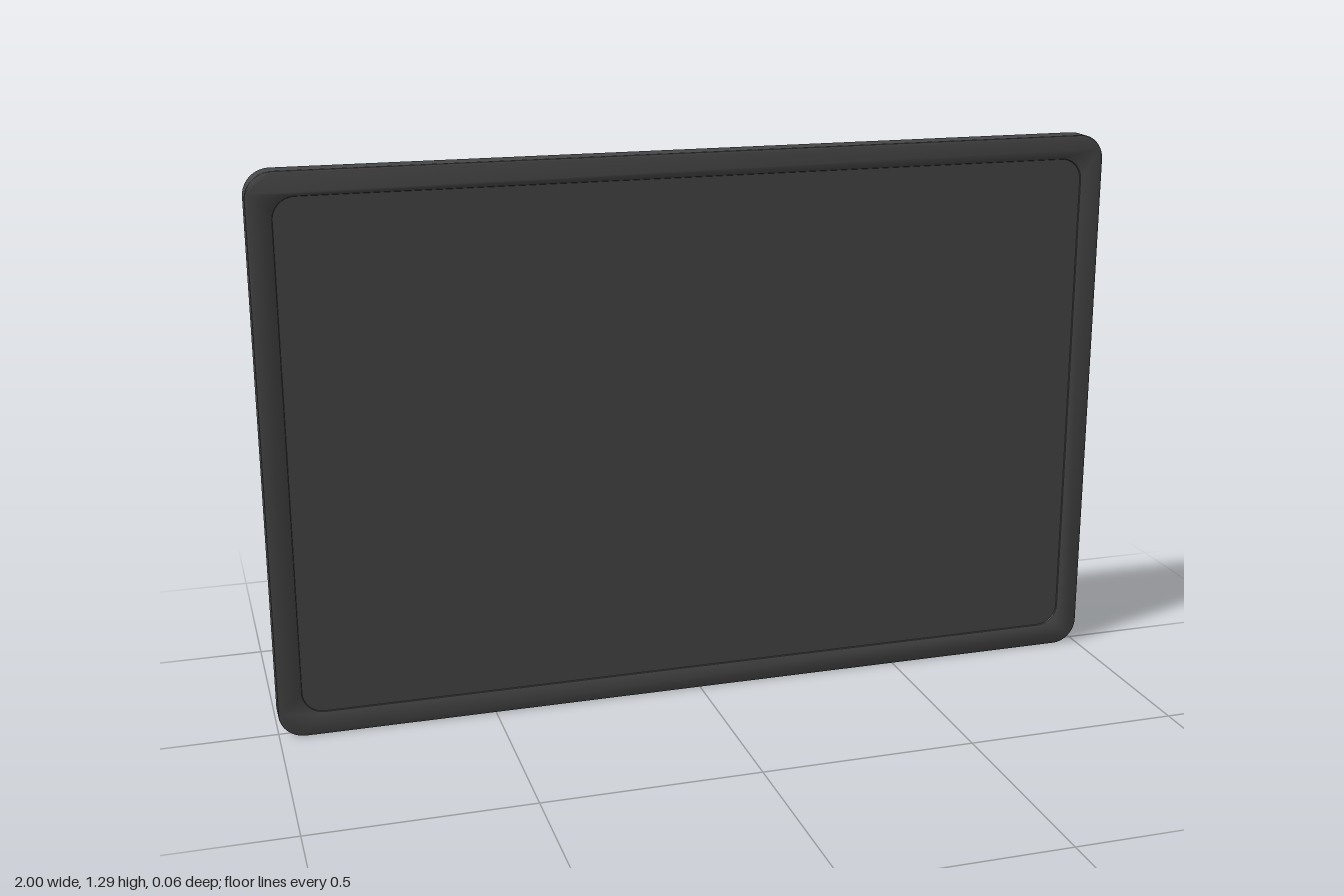
import * as THREE from 'three';
import { toCreasedNormals } from 'three/addons/utils/BufferGeometryUtils.js';

const WIDTH = 2, HEIGHT = 1.295, DEPTH = 0.056, BORDER = 0.056;

// Rounded rectangle centred on the origin
function roundedRect(target, w, h, r) {
  const x = w / 2, y = h / 2;
  target.moveTo(-x + r, -y);
  target.lineTo(x - r, -y);
  target.absarc(x - r, -y + r, r, -Math.PI / 2, 0);
  target.lineTo(x, y - r);
  target.absarc(x - r, y - r, r, 0, Math.PI / 2);
  target.lineTo(-x + r, y);
  target.absarc(-x + r, y - r, r, Math.PI / 2, Math.PI);
  target.lineTo(-x, -y + r);
  target.absarc(-x + r, -y + r, r, Math.PI, Math.PI * 1.5);
  return target;
}

export function createModel() {
  const group = new THREE.Group();
  group.name = 'framedPanel';

  const charcoal = new THREE.MeshStandardMaterial({ color: 0x464646 });
  charcoal.name = 'charcoal';
  const brown = new THREE.MeshStandardMaterial({ color: 0xa07352 });
  brown.name = 'brown';

  const innerW = WIDTH - 2 * BORDER, innerH = HEIGHT - 2 * BORDER;

  function addPart(name, geometry, material, z) {
    const mesh = new THREE.Mesh(toCreasedNormals(geometry, 0.5), material);
    mesh.name = name;
    mesh.position.set(0, HEIGHT / 2, z);
    group.add(mesh);
  }

  // Border frame with softly bevelled edges
  const bevel = 0.004;
  const outline = roundedRect(new THREE.Shape(), WIDTH, HEIGHT, 0.06);
  outline.holes.push(roundedRect(new THREE.Path(), innerW, innerH, 0.05));
  addPart('frame', new THREE.ExtrudeGeometry(outline, {
    depth: DEPTH - 2 * bevel, bevelThickness: bevel, bevelSize: bevel,
    bevelOffset: -bevel, bevelSegments: 2, curveSegments: 10,
  }), charcoal, -DEPTH / 2 + bevel);

  // Inset boards, each slightly recessed behind the frame's faces
  const panel = roundedRect(new THREE.Shape(), innerW, innerH, 0.05);
  const board = (depth) => new THREE.ExtrudeGeometry(panel, {
    depth, bevelEnabled: false, curveSegments: 10,
  });
  addPart('frontPanel', board(0.024), charcoal, 0);
  addPart('backPanel', board(0.021), brown, -0.021);

  return group;
}
